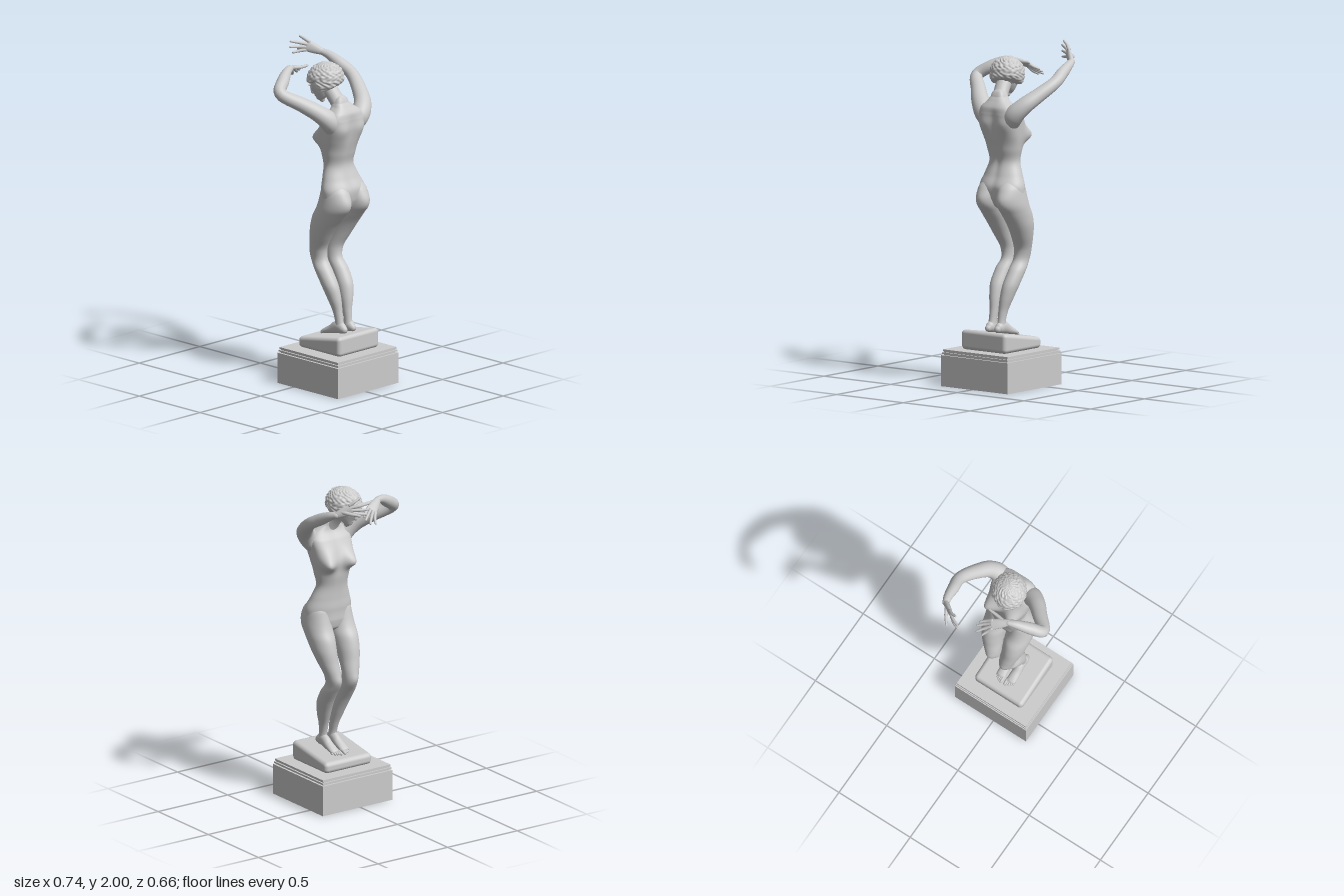
import * as THREE from 'three';
import { RoundedBoxGeometry } from 'three/addons/geometries/RoundedBoxGeometry.js';

const mat = new THREE.MeshStandardMaterial({ color: 0xcccccc, roughness: 0.8 });
const V = (a) => new THREE.Vector3(a[0], a[1], a[2]);
const { smoothstep, clamp, degToRad } = THREE.MathUtils;

function add(parent, name, geo, pos = [0, 0, 0], scale = [1, 1, 1]) {
  const m = new THREE.Mesh(geo, mat);
  m.name = name;
  m.position.set(...pos);
  m.scale.set(...scale);
  parent.add(m);
  return m;
}

// Smooth skin through elliptical sections [x, y, z, u, v] with rounded ends.
// Without ref the sections lie level (u along x, v along z) and must rise;
// with ref they stand across the path, u pointing along ref.
function loft(sections, { ref = null, sides = 24, steps = 5, shape = () => 1 } = {}) {
  const path = new THREE.CatmullRomCurve3(sections.map(V));
  const radii = new THREE.CatmullRomCurve3(sections.map((s) => new THREE.Vector3(s[3], s[4], 0)));
  const n = (sections.length - 1) * steps;
  const rows = [];
  const caps = [90, 60, 30];
  caps.forEach((d) => rows.push([0, -d]));
  for (let i = 0; i <= n; i++) rows.push([i / n, 0]);
  caps.reverse().forEach((d) => rows.push([1, d]));
  const pos = [], idx = [];
  for (const [t, deg] of rows) {
    const c = path.getPoint(t), r = radii.getPoint(t);
    let U = new THREE.Vector3(1, 0, 0), W = new THREE.Vector3(0, 0, 1), T = new THREE.Vector3(0, 1, 0);
    if (ref) {
      T = path.getTangent(t);
      W = ref.clone().cross(T).normalize();
      U = T.clone().cross(W);
    }
    const a = degToRad(deg), k = Math.cos(a);
    c.addScaledVector(T, Math.sin(a) * Math.min(r.x, r.y));
    for (let j = 0; j < sides; j++) {
      let th = (j / sides) * Math.PI * 2;
      if (th > Math.PI) th -= Math.PI * 2;
      const s = k * shape(th, c.y);
      const p = c.clone().addScaledVector(U, r.x * Math.cos(th) * s).addScaledVector(W, r.y * Math.sin(th) * s);
      pos.push(p.x, p.y, p.z);
    }
  }
  for (let i = 0; i < rows.length - 1; i++) for (let j = 0; j < sides; j++) {
    const a = i * sides + j, b = i * sides + (j + 1) % sides;
    idx.push(a, a + sides, b, b, a + sides, b + sides);
  }
  const g = new THREE.BufferGeometry();
  g.setAttribute('position', new THREE.Float32BufferAttribute(pos, 3));
  g.setIndex(idx);
  g.computeVertexNormals();
  return g;
}

// Pushes the skin out softly around a centre; push is the offset at the middle.
function swell(geo, centre, push, radius) {
  const p = geo.attributes.position, c = V(centre), d = V(push), v = new THREE.Vector3();
  for (let i = 0; i < p.count; i++) {
    v.fromBufferAttribute(p, i);
    v.addScaledVector(d, Math.exp(-v.distanceToSquared(c) / (radius * radius)));
    p.setXYZ(i, v.x, v.y, v.z);
  }
  geo.computeVertexNormals();
}

const ball = new THREE.SphereGeometry(1, 20, 14);

function buildPlinth(root) {
  const g = new THREE.Group();
  g.name = 'plinth';
  // [width, depth, bottom, top] of the block and its mouldings
  [[0.498, 0.5, 0, 0.183], [0.47, 0.473, 0.183, 0.191], [0.49, 0.493, 0.191, 0.2],
    [0.47, 0.473, 0.2, 0.206], [0.48, 0.485, 0.206, 0.217]].forEach(([w, d, y0, y1], i) =>
    add(g, i ? 'moulding' : 'block', new THREE.BoxGeometry(w, y1 - y0, d), [0.119, (y0 + y1) / 2, -0.02]));
  // sloping cushion under the feet
  const wedge = new RoundedBoxGeometry(0.342, 0.12, 0.335, 5, 0.024);
  const p = wedge.attributes.position;
  for (let i = 0; i < p.count; i++) if (p.getY(i) > 0) p.setY(i, p.getY(i) - (0.17 - p.getX(i)) * 0.165);
  add(g, 'wedge', wedge, [0.121, 0.277, -0.023]);
  root.add(g);
}

function buildTorso(root) {
  // squarer ribcage, spine groove, and a faint line down the front
  const shape = (th, y) => {
    const e = 2 + 1.2 * smoothstep(y, 1.42, 1.58);
    const square = (Math.abs(Math.cos(th)) ** e + Math.abs(Math.sin(th)) ** e) ** (-1 / e);
    return square * (1 - 0.1 * Math.exp(-((th / 0.25) ** 2)) * (1 - smoothstep(y, 1.58, 1.68))
      - 0.03 * Math.exp(-(((Math.PI - Math.abs(th)) / 0.2) ** 2)));
  };
  const torso = loft([
    [0.115, 1.03, -0.045, 0.02, 0.05], [0.125, 1.07, -0.045, 0.075, 0.12], [0.133, 1.12, -0.045, 0.094, 0.149],
    [0.136, 1.18, -0.043, 0.098, 0.151], [0.12, 1.25, -0.04, 0.082, 0.127], [0.105, 1.33, -0.037, 0.072, 0.1],
    [0.107, 1.4, -0.037, 0.086, 0.112], [0.118, 1.48, -0.036, 0.094, 0.125], [0.13, 1.55, -0.036, 0.093, 0.132],
    [0.144, 1.61, -0.036, 0.079, 0.134], [0.156, 1.65, -0.034, 0.06, 0.11], [0.148, 1.685, -0.026, 0.045, 0.066],
    [0.135, 1.71, -0.02, 0.04, 0.046]], { sides: 80, steps: 7, shape });
  swell(torso, [0.037, 1.488, 0.032], [-0.062, -0.012, 0.008], 0.05);
  swell(torso, [0.04, 1.488, -0.105], [-0.058, -0.012, -0.026], 0.05);
  for (const s of [1, -1]) swell(torso, [0.21, 1.55, -0.038 + s * 0.075], [0.01, 0, 0], 0.05);
  add(root, 'torso', torso);
  add(root, 'neck', loft([[0.16, 1.63, -0.03, 0.05, 0.06], [0.138, 1.68, -0.022, 0.045, 0.05],
    [0.105, 1.73, -0.01, 0.043, 0.045], [0.06, 1.79, 0, 0.045, 0.045]], { ref: new THREE.Vector3(1, 0, 0) }));
}

function buildLeg(root, side) {
  const g = new THREE.Group();
  g.name = side > 0 ? 'leftLeg' : 'rightLeg';
  const sections = [
    [0.165, 0.345, 0.009, 0.034, 0.026], [0.158, 0.39, 0.009, 0.027, 0.023], [0.143, 0.45, 0.009, 0.032, 0.027],
    [0.122, 0.52, 0.014, 0.045, 0.038], [0.09, 0.6, 0.02, 0.056, 0.047], [0.04, 0.68, 0.02, 0.058, 0.048],
    [0, 0.74, 0.014, 0.055, 0.043], [-0.003, 0.8, 0.018, 0.056, 0.048], [0.026, 0.88, 0.029, 0.071, 0.06],
    [0.056, 0.95, 0.033, 0.089, 0.07], [0.094, 1.02, 0.034, 0.104, 0.077], [0.124, 1.07, 0.034, 0.104, 0.079],
    [0.138, 1.12, 0.032, 0.1, 0.077], [0.139, 1.18, 0.026, 0.087, 0.073], [0.135, 1.235, 0.012, 0.055, 0.05]];
  // the right leg is the reflection, with its knee a little further back
  const place = (s) => side > 0 ? s : [s[0] + 0.017 * Math.sin(Math.PI * clamp((s[1] - 0.35) / 0.75, 0, 1)),
    s[1], -0.05 - 0.04 * clamp((s[1] - 0.4) / 0.55, 0, 1) - s[2], s[3], s[4]];
  const leg = loft(sections.map(place), { sides: 40, steps: 6 });
  const [kx, ky, kz] = place([-0.055, 0.765, 0.014]);
  swell(leg, [kx, ky, kz], [-0.007, 0, 0], 0.03);
  swell(leg, [0.23, 1.105, -0.045 + side * 0.07], [0.025, -0.006, 0], 0.07);
  add(g, 'leg', leg);
  const up = new THREE.Vector3(0, 1, 0);
  add(g, 'foot', loft([[0.2, 0.342, 0.01, 0.022, 0.02], [0.185, 0.347, 0.01, 0.032, 0.025], [0.15, 0.352, 0.01, 0.038, 0.026],
    [0.1, 0.33, 0.01, 0.027, 0.028], [0.06, 0.315, 0.01, 0.019, 0.029], [0.04, 0.308, 0.01, 0.014, 0.028]].map(place), { ref: up }));
  for (let i = 0; i < 5; i++) {
    const z = -0.012 + i * 0.011, r = i ? 0.0065 : 0.009, x = 0.008 + i * i * 0.0016;
    add(g, 'toe', loft([[0.05, 0.308, z, r, r], [x + 0.015, 0.306, z, r, r], [x, 0.299, z, r, r]].map(place),
      { ref: up, sides: 8, steps: 3 }));
  }
  root.add(g);
}

function buildArm(root, name, arm, { wrist, knuckles, spread, tips, thumb }) {
  const g = new THREE.Group();
  g.name = name;
  add(g, 'arm', loft(arm, { ref: new THREE.Vector3(1, 1, 0), sides: 26, steps: 6 }));
  const w = V(wrist), k = V(knuckles), sp = V(spread).normalize();
  const normal = sp.clone().cross(k.clone().sub(w)).normalize();
  const m = w.clone().lerp(k, 0.55);
  add(g, 'palm', loft([[...w, 0.017, 0.02], [...m, 0.016, 0.03], [...k, 0.011, 0.033]], { ref: normal, sides: 16 }));
  const finger = (part, base, tip, r) => {
    // a slight arch at the middle joint
    const mid = base.clone().lerp(tip, 0.5).addScaledVector(normal, 0.005);
    add(g, part, loft([[...base, r, r], [...mid, r * 0.9, r * 0.9], [...tip, r * 0.65, r * 0.65]],
      { ref: sp, sides: 10, steps: 4 }));
  };
  tips.forEach((t, i) => finger('finger', k.clone().addScaledVector(sp, (i - 1.5) * 0.0175), V(t), 0.0102));
  finger('thumb', w.clone().lerp(k, 0.3).addScaledVector(sp, -0.012), V(thumb), 0.0115);
  root.add(g);
}

function buildHead(root) {
  const head = new THREE.Group();
  head.name = 'head';
  head.position.set(0.033, 1.82, 0.003);
  head.lookAt(0.033 - 0.78, 1.82 - 0.42, 0.003 + 0.45);
  add(head, 'face', loft([[0, -0.098, 0.062, 0.016, 0.016], [0, -0.083, 0.05, 0.035, 0.04], [0, -0.05, 0.03, 0.055, 0.061],
    [0, 0, 0.015, 0.068, 0.08], [0, 0.04, 0.005, 0.068, 0.078]], { sides: 32 }));
  add(head, 'nose', loft([[0, -0.036, 0.092, 0.012, 0.015], [0, -0.02, 0.092, 0.008, 0.012], [0, 0.008, 0.087, 0.006, 0.009]],
    { sides: 12 }));
  add(head, 'lips', ball, [0, -0.058, 0.084], [0.019, 0.008, 0.009]);
  for (const s of [1, -1]) {
    add(head, 'eyelid', ball, [s * 0.027, -0.004, 0.082], [0.014, 0.008, 0.009]);
    add(head, 'brow', ball, [s * 0.027, 0.014, 0.083], [0.021, 0.006, 0.009]);
  }
  // curly hair: waves running out from the crown, drawn in over the face and nape
  const tilt = -0.42;
  const hair = new THREE.SphereGeometry(1, 120, 80);
  const p = hair.attributes.position, d = new THREE.Vector3(), axis = new THREE.Vector3(1, 0, 0);
  for (let i = 0; i < p.count; i++) {
    d.fromBufferAttribute(p, i);
    const az = Math.atan2(d.z, d.x), po = Math.acos(clamp(d.y, -1, 1));
    const curl = Math.sin(10 * az + 2.5 * Math.sin(8 * po)) * Math.sin(14 * po + 2 * Math.sin(5 * az))
      + 0.5 * Math.sin(17 * az + 3 * Math.sin(11 * po));
    d.applyAxisAngle(axis, tilt);
    const front = smoothstep(d.z, 0.25, 0.55) * (1 - smoothstep(d.y, 0.08, 0.3));
    const under = 1 - smoothstep(d.y, -0.85, -0.45);
    const r = (1 + 0.032 * curl * Math.min(1, 1.5 * Math.sin(po))) * (1 - 0.4 * front) * (1 - 0.3 * under);
    d.multiplyScalar(r);
    p.setXYZ(i, d.x * 0.102, d.y * 0.102, d.z * 0.112);
  }
  hair.computeVertexNormals();
  add(head, 'hair', hair, [0, 0.006, -0.006]);
  root.add(head);
}

export function createModel() {
  const root = new THREE.Group();
  root.name = 'statue';
  buildPlinth(root);
  const figure = new THREE.Group();
  figure.name = 'figure';
  root.add(figure);
  buildTorso(figure);
  buildLeg(figure, 1);
  buildLeg(figure, -1);
  buildArm(figure, 'leftArm', [
    [0.125, 1.5, 0.015, 0.035, 0.035], [0.15, 1.6, 0.075, 0.058, 0.06], [0.118, 1.66, 0.135, 0.049, 0.053],
    [0.05, 1.715, 0.205, 0.042, 0.045], [-0.046, 1.783, 0.291, 0.036, 0.037],
    [-0.088, 1.832, 0.228, 0.035, 0.037], [-0.125, 1.872, 0.155, 0.025, 0.026], [-0.142, 1.88, 0.115, 0.018, 0.021]], {
    wrist: [-0.142, 1.88, 0.115], knuckles: [-0.197, 1.85, 0.035], spread: [-0.62, -0.55, 0.35],
    tips: [[-0.215, 1.828, -0.035], [-0.237, 1.812, -0.038], [-0.264, 1.795, -0.025], [-0.265, 1.79, 0.012]],
    thumb: [-0.135, 1.873, -0.022] });
  buildArm(figure, 'rightArm', [
    [0.125, 1.5, -0.085, 0.035, 0.035], [0.165, 1.6, -0.147, 0.058, 0.058], [0.142, 1.66, -0.2, 0.049, 0.052],
    [0.07, 1.718, -0.247, 0.042, 0.045], [-0.047, 1.793, -0.292, 0.036, 0.037],
    [-0.13, 1.838, -0.28, 0.035, 0.035], [-0.205, 1.875, -0.268, 0.025, 0.026], [-0.245, 1.888, -0.255, 0.019, 0.021]], {
    wrist: [-0.245, 1.888, -0.255], knuckles: [-0.298, 1.927, -0.185], spread: [-0.2, -0.9, 0.35],
    tips: [[-0.315, 1.992, -0.14], [-0.35, 1.96, -0.1], [-0.352, 1.925, -0.1], [-0.34, 1.893, -0.11]],
    thumb: [-0.362, 1.9, -0.172] });
  buildHead(figure);
  return root;
}
